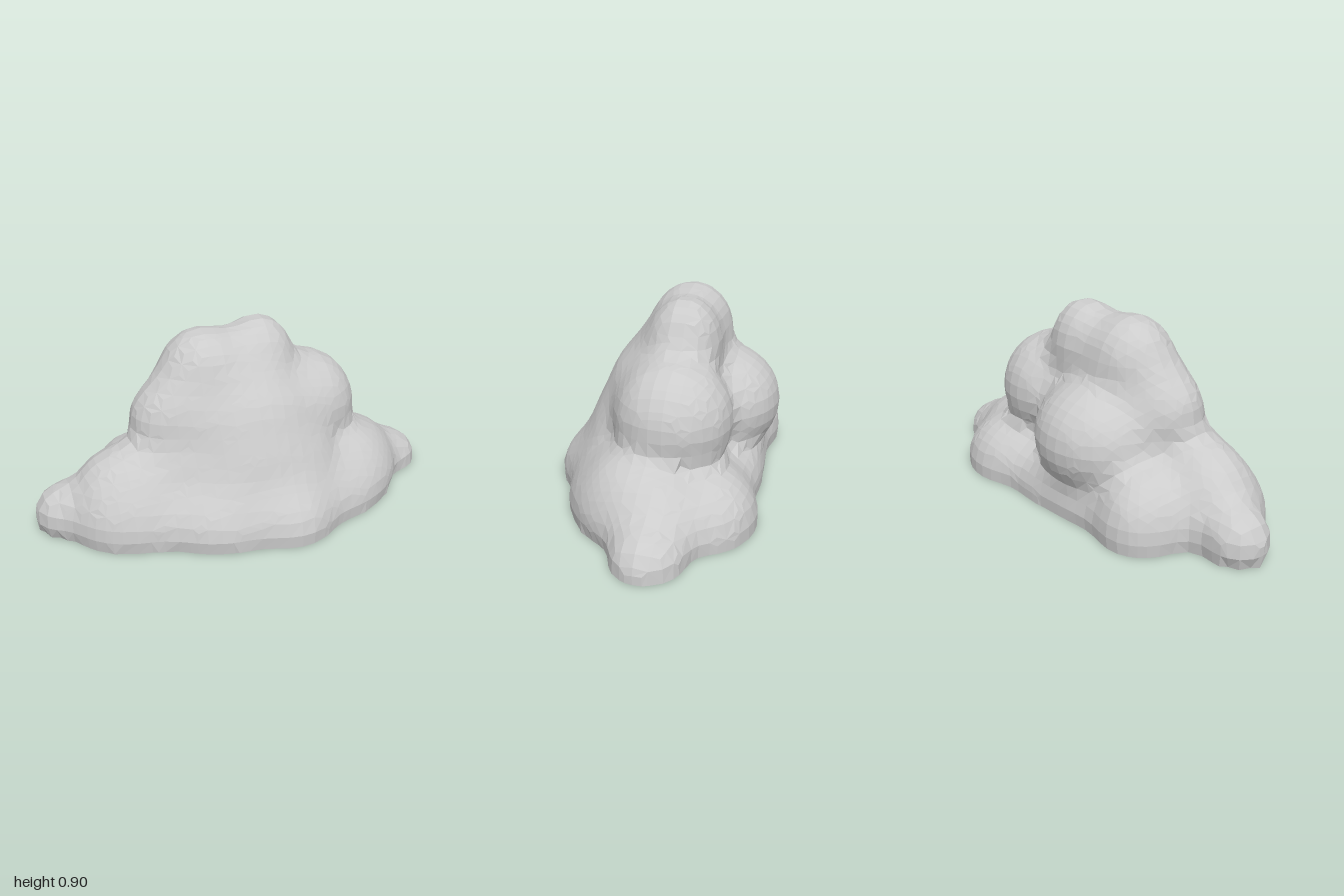
import * as THREE from 'three';

// Puffs of the cloud: centre x, y, z and radii x, y, z
const PUFFS = [
  // crown
  [-0.18, 0.69, -0.05, 0.195, 0.205, 0.185],
  [0.1, 0.70, -0.09, 0.175, 0.21, 0.16],
  [-0.05, 0.66, -0.05, 0.29, 0.17, 0.17],
  // middle tier
  [0.0, 0.4, 0.05, 0.37, 0.31, 0.245],
  [0.33, 0.43, -0.1, 0.265, 0.27, 0.265],
  [-0.13, 0.35, -0.2, 0.31, 0.265, 0.29],
  [-0.31, 0.48, -0.01, 0.23, 0.23, 0.19],
  // front slope joining the tiers
  [0.03, 0.2, 0.16, 0.4, 0.27, 0.22],
  [-0.35, 0.24, 0.06, 0.31, 0.2, 0.19],
  // base, left side of the front
  [-0.6, 0.09, 0.03, 0.25, 0.3, 0.23],
  [-0.86, 0.08, -0.03, 0.14, 0.14, 0.135],
  [-0.48, 0.06, -0.22, 0.21, 0.25, 0.22],
  [-0.47, 0.06, 0.1, 0.34, 0.22, 0.23],
  // base, front and back
  [-0.15, 0.05, 0.19, 0.33, 0.22, 0.265],
  [0.12, 0.04, 0.2, 0.26, 0.23, 0.305],
  [-0.18, 0.04, -0.2, 0.32, 0.17, 0.23],
  [0.1, 0.04, -0.2, 0.35, 0.19, 0.255],
  // base, right side of the front
  [0.33, 0.04, 0.13, 0.3, 0.2, 0.245],
  [0.46, 0.07, 0.04, 0.32, 0.24, 0.255],
  [0.49, 0.2, -0.01, 0.2, 0.13, 0.18],
  [0.45, 0.03, -0.26, 0.285, 0.235, 0.25],
  [0.66, 0.08, -0.1, 0.16, 0.19, 0.2],
  [0.83, 0.02, -0.13, 0.17, 0.145, 0.16],
];
const BLEND = 0.1;
const CELL = 0.06;

// Approximate distance to the softly merged puffs
function field(x, y, z) {
  let d = 10;
  for (const [cx, cy, cz, rx, ry, rz] of PUFFS) {
    const a = (x - cx) / rx, b = (y - cy) / ry, c = (z - cz) / rz;
    const k0 = Math.hypot(a, b, c);
    const k1 = Math.hypot(a / rx, b / ry, c / rz) || 1;
    const e = k0 < 1e-6 ? -Math.min(rx, ry, rz) : k0 * (k0 - 1) / k1;
    const h = Math.max(BLEND - Math.abs(d - e), 0) / BLEND;
    d = Math.min(d, e) - h * h * BLEND / 4;
  }
  return d;
}

// Move a point along the field's slope onto the surface
function settle(p) {
  const e = 0.01;
  const [x, y, z] = p;
  const g = [
    field(x + e, y, z) - field(x - e, y, z),
    field(x, y + e, z) - field(x, y - e, z),
    field(x, y, z + e) - field(x, y, z - e),
  ].map((v) => v / (2 * e));
  const step = field(x, y, z) / Math.max(0.5, g[0] ** 2 + g[1] ** 2 + g[2] ** 2);
  const s = Math.max(-0.015, Math.min(0.015, step));
  for (let a = 0; a < 3; a++) p[a] -= g[a] * s;
}

// Skin the field with one vertex per crossed cell and one quad per crossed edge
function cloudGeometry() {
  const below = 6; // cell layers under the floor, flattened onto it
  const origin = [-1.11, -(below + 0.5) * CELL, -0.63];
  const n = [38, 28, 22];
  const stride = [1, n[0], n[0] * n[1]];
  const at = (i, j, k) => i + j * stride[1] + k * stride[2];
  const values = new Float32Array(n[0] * n[1] * n[2]);
  const eachNode = (lo, hi, fn) => {
    for (let k = lo; k < n[2] - hi; k++)
      for (let j = lo; j < n[1] - hi; j++)
        for (let i = lo; i < n[0] - hi; i++) fn(i, j, k);
  };
  eachNode(0, 0, (i, j, k) => {
    values[at(i, j, k)] = field(origin[0] + i * CELL, origin[1] + j * CELL, origin[2] + k * CELL);
  });

  const positions = [];
  const vertex = new Int32Array(values.length).fill(-1);
  eachNode(0, 1, (i, j, k) => {
    const sum = [0, 0, 0];
    let count = 0;
    for (let c = 0; c < 8; c++) {
      const from = [c & 1, (c >> 1) & 1, c >> 2];
      const va = values[at(i + from[0], j + from[1], k + from[2])];
      for (let a = 0; a < 3; a++) {
        if (from[a]) continue;
        const vb = values[at(i + from[0], j + from[1], k + from[2]) + stride[a]];
        if ((va < 0) === (vb < 0)) continue;
        for (let q = 0; q < 3; q++) sum[q] += from[q] + (q === a ? va / (va - vb) : 0);
        count++;
      }
    }
    if (!count) return;
    const cell = [i, j, k];
    const p = sum.map((s, a) => origin[a] + (cell[a] + s / count) * CELL);
    settle(p);
    p[1] = j <= below ? 0 : Math.max(0, p[1]); // flat underside
    vertex[at(i, j, k)] = positions.length / 3;
    positions.push(...p);
  });

  const index = [];
  eachNode(1, 1, (i, j, k) => {
    const m = at(i, j, k);
    for (let a = 0; a < 3; a++) {
      const inside = values[m] < 0;
      if (inside === (values[m + stride[a]] < 0)) continue;
      const b = stride[(a + 1) % 3], c = stride[(a + 2) % 3];
      const q = [m - b - c, m - c, m, m - b].map((v) => vertex[v]);
      if (!inside) q.reverse();
      index.push(q[0], q[1], q[2], q[0], q[2], q[3]);
    }
  });

  const geometry = new THREE.BufferGeometry();
  geometry.setAttribute('position', new THREE.Float32BufferAttribute(positions, 3));
  geometry.setIndex(index);
  const faceted = geometry.toNonIndexed();
  faceted.computeVertexNormals();
  return faceted;
}

export function createModel() {
  const group = new THREE.Group();
  group.name = 'cloud';
  const material = new THREE.MeshStandardMaterial({ color: 0xcccccc, flatShading: true });
  const body = new THREE.Mesh(cloudGeometry(), material);
  body.name = 'cloudBody';
  group.add(body);
  return group;
}
